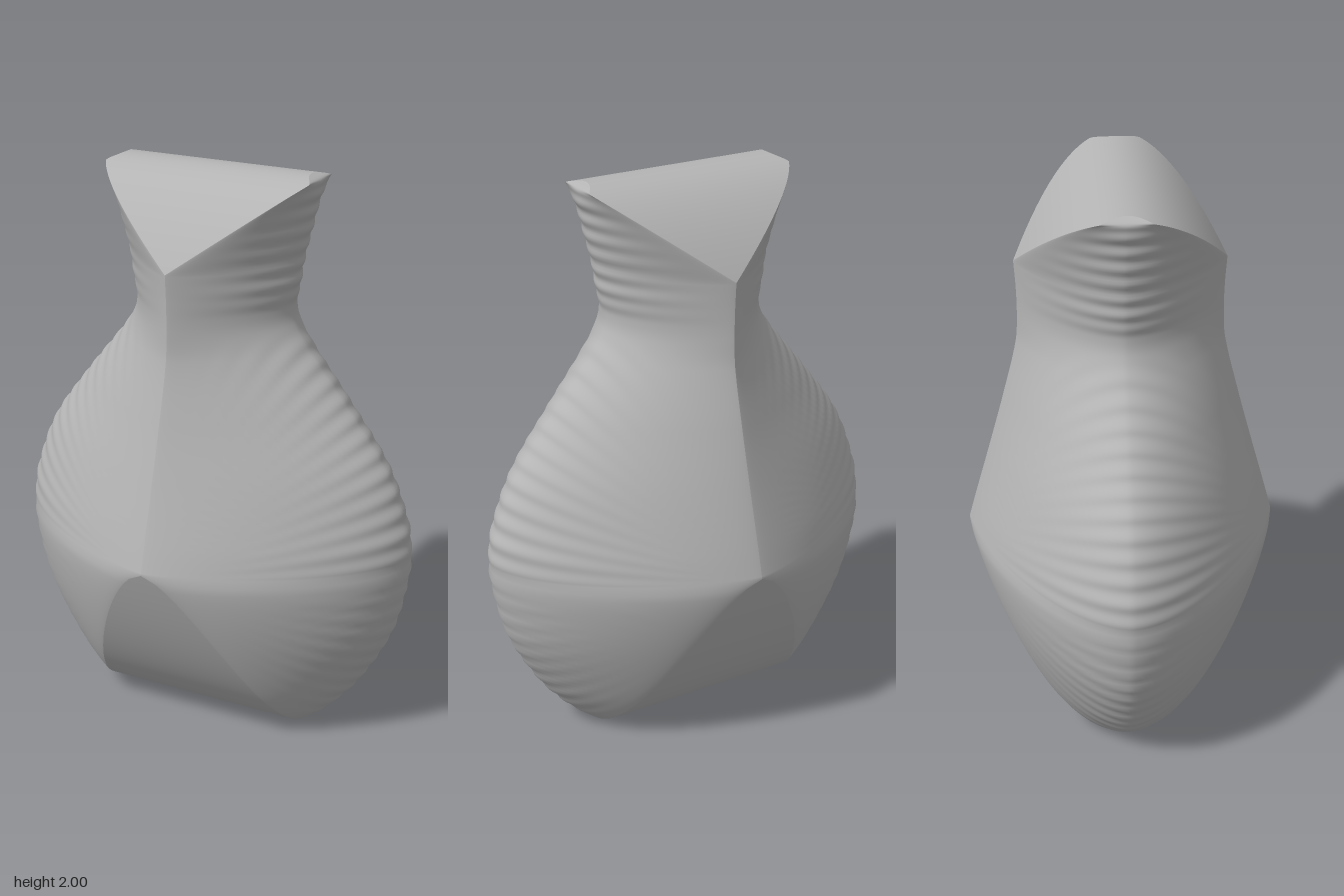
import * as THREE from 'three';

const WAIST = 0.7, RIM = 1.7, TOP = 2;

// Smooth interpolation through [y, value] stations
function curve(pts) {
  const slope = pts.map((p, i) => {
    const a = pts[Math.max(i - 1, 0)], b = pts[Math.min(i + 1, pts.length - 1)];
    return (b[1] - a[1]) / (b[0] - a[0]);
  });
  return (y) => {
    let i = 0;
    while (i < pts.length - 2 && y > pts[i + 1][0]) i++;
    const [y0, v0] = pts[i], [y1, v1] = pts[i + 1], h = y1 - y0;
    const t = THREE.MathUtils.clamp((y - y0) / h, 0, 1), t2 = t * t, t3 = t2 * t;
    return v0 * (2 * t3 - 3 * t2 + 1) + slope[i] * h * (t3 - 2 * t2 + t)
      + v1 * (3 * t2 - 2 * t3) + slope[i + 1] * h * (t3 - t2);
  };
}

// Half width seen from the front
const halfWidth = curve([[0, 0.385], [0.04, 0.44], [0.1, 0.5], [0.2, 0.58], [0.4, 0.688], [0.6, 0.737], [0.7, 0.743],
  [0.8, 0.732], [1, 0.655], [1.2, 0.51], [1.4, 0.348], [1.48, 0.3], [1.54, 0.29], [1.6, 0.302], [1.7, 0.318],
  [1.8, 0.342], [1.9, 0.365], [1.96, 0.383], [1.985, 0.38], [2, 0.35]]);

// Half depth seen from the side: rounded ends and a tapering middle ridge
const ridge = curve([[0.7, 0.545], [0.8, 0.518], [1, 0.462], [1.2, 0.408], [1.4, 0.36], [1.5, 0.353], [1.6, 0.354], [1.7, 0.36]]);
function halfDepth(y) {
  if (y < WAIST) return 0.545 * Math.sqrt(y / WAIST);
  if (y > RIM) return 0.36 * Math.sqrt(Math.max(0, TOP - y) / (TOP - RIM));
  return ridge(y);
}

// Half width of the rolled faces at the bottom and the top
function creaseX(y) {
  let c = 0;
  if (y < WAIST) c = 0.385 * Math.pow(1 - y / WAIST, 0.62);
  if (y > RIM) c = 0.385 * (y - RIM) / 0.285;
  return Math.min(c, halfWidth(y));
}

// Shallow folds fanning out from the waist, level around the neck
function fold(x, y, u) {
  const fade = THREE.MathUtils.smoothstep(Math.abs(y - 1.5), 0.02, 0.12)
    * THREE.MathUtils.smoothstep(y, 0, 0.08) * THREE.MathUtils.smoothstep(TOP - y, 0, 0.06);
  const phase = y < 1.5 ? Math.atan2(y - WAIST, x) * 62 : y * 105;
  return 0.0035 * fade * u * u * Math.sin(phase);
}

// Smooth grid of points from a rule
function grid(rows, cols, rule) {
  const pos = [], index = [];
  for (let i = 0; i <= rows; i++) {
    for (let j = 0; j <= cols; j++) {
      pos.push(...rule(i, j / cols));
      if (i < rows && j < cols) {
        const a = i * (cols + 1) + j, b = a + cols + 1;
        index.push(a, a + 1, b, a + 1, b + 1, b);
      }
    }
  }
  const g = new THREE.BufferGeometry();
  g.setAttribute('position', new THREE.Float32BufferAttribute(pos, 3));
  g.setIndex(index);
  g.computeVertexNormals();
  return g;
}

export function createModel() {
  const group = new THREE.Group();
  const clay = new THREE.MeshStandardMaterial({ color: 0xb4b4b4 });
  clay.name = 'plain grey';
  const add = (name, geometry) => {
    const mesh = new THREE.Mesh(geometry, clay);
    mesh.name = name;
    group.add(mesh);
    return mesh;
  };

  // Row heights, closer together towards both ends
  const N = 50, M = 130, ys = [];
  for (let i = 0; i < N; i++) ys.push(WAIST * (i / N) ** 2);
  for (let i = 0; i < M; i++) ys.push(WAIST + (RIM - WAIST) * i / M);
  for (let i = N; i >= 0; i--) ys.push(TOP - (TOP - RIM) * (i / N) ** 2);

  // Side wall wrapping from the front ridge to the back ridge
  const wall = grid(ys.length - 1, 64, (i, t) => {
    const y = ys[i], c = creaseX(y), d = halfDepth(y);
    const p = 1.12 + 0.18 * Math.exp(-(((y - WAIST) / 0.35) ** 2));
    const a = Math.abs(2 * t - 1) * Math.PI / 2; // 0 at the outer edge
    const u = t === 0 || t === 1 ? 0 : Math.pow(Math.cos(a), 2 / p);
    const z = Math.sign(1 - 2 * t) * d * Math.pow(Math.sin(a), 1.2);
    const x = c + (halfWidth(y) - c) * u;
    return [x + fold(x, y, u), y, z];
  });
  add('leftWall', wall);
  add('rightWall', wall).rotation.y = Math.PI;

  // Rolled faces closing the bottom and the top
  const cap = (end, height, dir) => grid(2 * N, 24, (i, t) => {
    const s = i / N - 1, y = end + height * s * s;
    return [creaseX(y) * (2 * t - 1), y, dir * Math.sign(s) * halfDepth(y)];
  });
  add('bottomFace', cap(0, WAIST, 1));
  add('topFace', cap(TOP, RIM - TOP, -1));
  return group;
}
